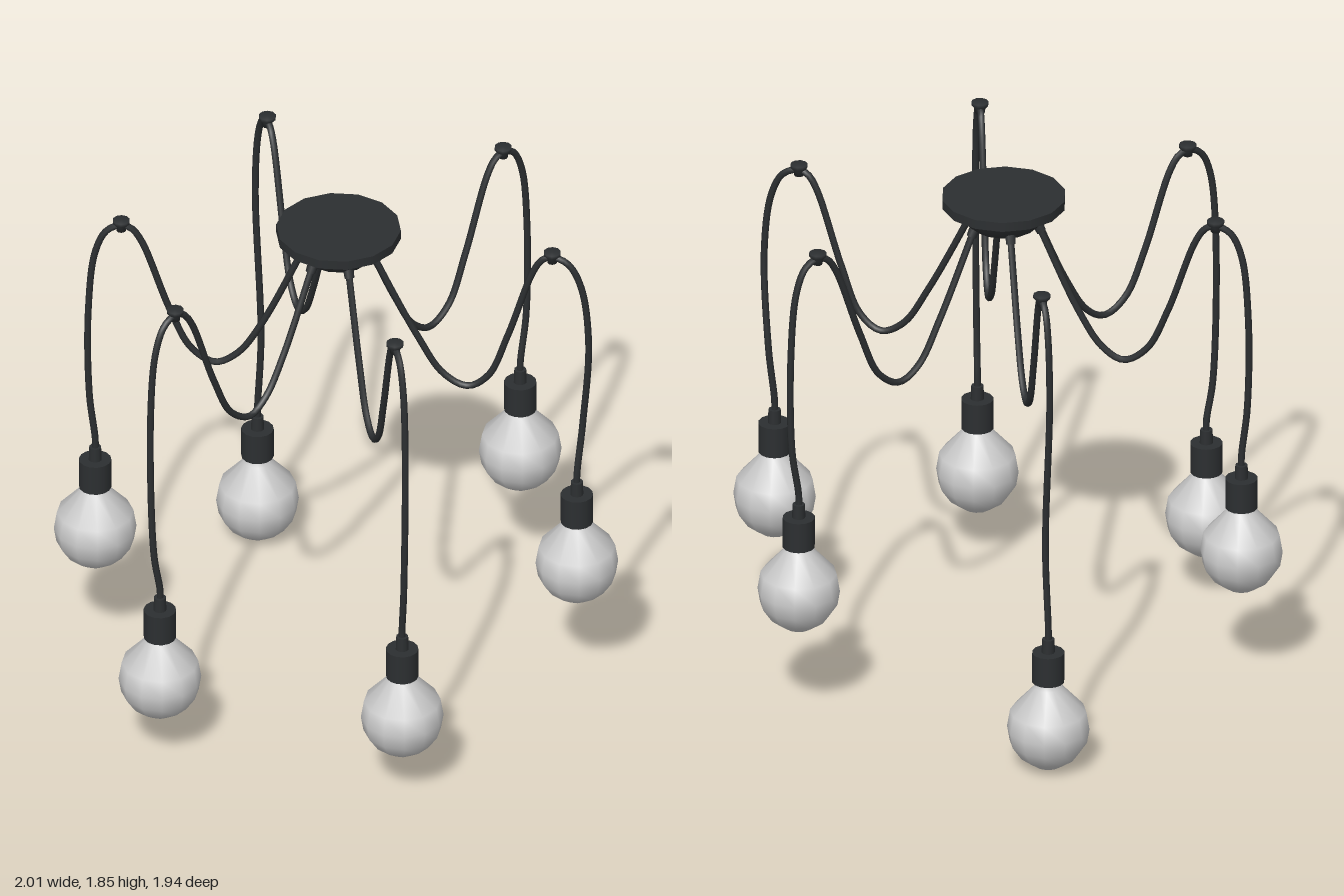
import * as THREE from 'three';

const dark = new THREE.MeshStandardMaterial({ color: 0x2c2f31 });
const glass = new THREE.MeshStandardMaterial({ color: 0xcccccc });
const vec = (x, y, z) => new THREE.Vector3(x, y, z);

function add(parent, name, geometry, material, x = 0, y = 0, z = 0) {
  const mesh = new THREE.Mesh(geometry, material);
  mesh.name = name;
  mesh.position.set(x, y, z);
  parent.add(mesh);
  return mesh;
}

const lathe = (points, sides) =>
  new THREE.LatheGeometry(points.map(([r, y]) => new THREE.Vector2(r, y)), sides);

// Round bulb with a short cone up to the socket, measured from its lowest point
const bulbGeometry = lathe([
  [0, 0], [0.05, 0.01], [0.104, 0.049], [0.138, 0.1], [0.147, 0.155],
  [0.136, 0.222], [0.05, 0.318], [0.043, 0.35],
], 12);
const socketGeometry = new THREE.CylinderGeometry(0.058, 0.058, 0.115, 14);
const collarGeometry = new THREE.CylinderGeometry(0.022, 0.024, 0.055, 10);
const hookGeometry = lathe([
  [0, 0], [0.017, 0], [0.02, 0.02], [0.031, 0.032], [0.031, 0.044], [0, 0.044],
], 10);
const stubGeometry = new THREE.CylinderGeometry(0.02, 0.018, 0.045, 8);

const canopyZ = 0.01;

// hook and bulb are [x, z]; base is the bulb's lowest y; neck is the socket's lower rim;
// sag is the lowest point of the swag; upper and bend are points on the hanging drop
const arms = [
  { hook: [0.19, -0.74], bulb: [0.202, -0.822], base: 0, neck: 0.34,
    sag: [0.1, 1.235, -0.405], upper: [0.206, 1.45, -0.842], bend: [0.206, 0.86, -0.805] },
  { hook: [-0.61, -0.465], bulb: [-0.688, -0.515], base: 0.376, neck: 0.704,
    sag: [-0.342, 1.245, -0.265], upper: [-0.708, 1.45, -0.53], bend: [-0.706, 1.1, -0.526] },
  { hook: [-0.765, 0.12], bulb: [-0.855, 0.158], base: 0.17, neck: 0.498,
    sag: [-0.43, 1.242, 0.088], upper: [-0.884, 1.45, 0.142], bend: [-0.88, 0.86, 0.156] },
  { hook: [-0.23, 0.725], bulb: [-0.265, 0.825], base: 0.162, neck: 0.487,
    sag: [-0.125, 1.226, 0.42], upper: [-0.267, 1.45, 0.848], bend: [-0.27, 0.85, 0.843] },
  { hook: [0.555, 0.545], bulb: [0.63, 0.59], base: 0.361, neck: 0.689,
    sag: [0.335, 1.228, 0.33], upper: [0.65, 1.47, 0.635], bend: [0.652, 1.1, 0.594] },
  { hook: [0.78, -0.115], bulb: [0.857, -0.122], base: 0.361, neck: 0.689,
    sag: [0.437, 1.226, -0.062], upper: [0.892, 1.45, -0.132], bend: [0.887, 1.08, -0.13] },
];

function createArm({ hook, bulb, base, neck, sag, upper, bend }) {
  const arm = new THREE.Group();
  arm.name = 'pendantArm';
  const [bx, bz] = bulb;
  const [hx, hz] = hook;
  const low = vec(...sag);

  // Outlet on the canopy, facing the lowest point of the swag
  const out = vec(low.x, 0, low.z - canopyZ).normalize();
  const outlet = (r, y) => vec(out.x * r, y, canopyZ + out.z * r);
  const start = outlet(0.145, 1.7);
  const between = (a, b, t, y) => a.clone().lerp(b, t).setY(y);
  const peak = vec(hx, 1.814, hz);
  const over = vec(...upper);

  // Swag from the canopy up over the hook, then down to the socket
  const path = new THREE.CatmullRomCurve3([
    outlet(0.118, 1.76),
    start,
    between(low, start, 0.57, 1.425),
    between(low, start, 0.27, low.y + 0.044),
    low,
    between(low, peak, 0.25, low.y + 0.054),
    between(low, peak, 0.48, 1.46),
    between(low, peak, 0.78, 1.745),
    between(low, peak, 0.89, 1.8),
    peak,
    between(peak, over, 0.44, 1.79),
    between(peak, over, 0.79, 1.7),
    over,
    vec(...bend),
    vec(bx, neck + 0.2, bz),
    vec(bx, neck + 0.14, bz),
  ]);
  add(arm, 'cable', new THREE.TubeGeometry(path, 110, 0.0125, 7), dark);

  // Fittings at the canopy and ceiling
  const exit = outlet(0.128, 1.738);
  const stub = add(arm, 'cableOutlet', stubGeometry, dark, exit.x, exit.y, exit.z);
  stub.quaternion.setFromUnitVectors(
    vec(0, 1, 0), vec(-out.x * 0.45, 0.9, -out.z * 0.45).normalize());
  add(arm, 'ceilingHook', hookGeometry, dark, hx, 1.792, hz);

  // Lamp holder and bulb
  add(arm, 'cableCollar', collarGeometry, dark, bx, neck + 0.14, bz);
  add(arm, 'socket', socketGeometry, dark, bx, neck + 0.0575, bz);
  add(arm, 'bulb', bulbGeometry, glass, bx, base, bz);
  return arm;
}

export function createModel() {
  const model = new THREE.Group();
  model.name = 'multiArmPendantLamp';

  // Ceiling canopy: flat plate over a shallow bowl
  add(model, 'canopyPlate', new THREE.CylinderGeometry(0.222, 0.222, 0.035, 14), dark, 0, 1.828, canopyZ);
  add(model, 'canopyBowl', lathe([
    [0, 1.716], [0.08, 1.719], [0.12, 1.732], [0.153, 1.764], [0.178, 1.812],
  ], 14), dark, 0, 0, canopyZ);

  for (const spec of arms) model.add(createArm(spec));
  return model;
}
